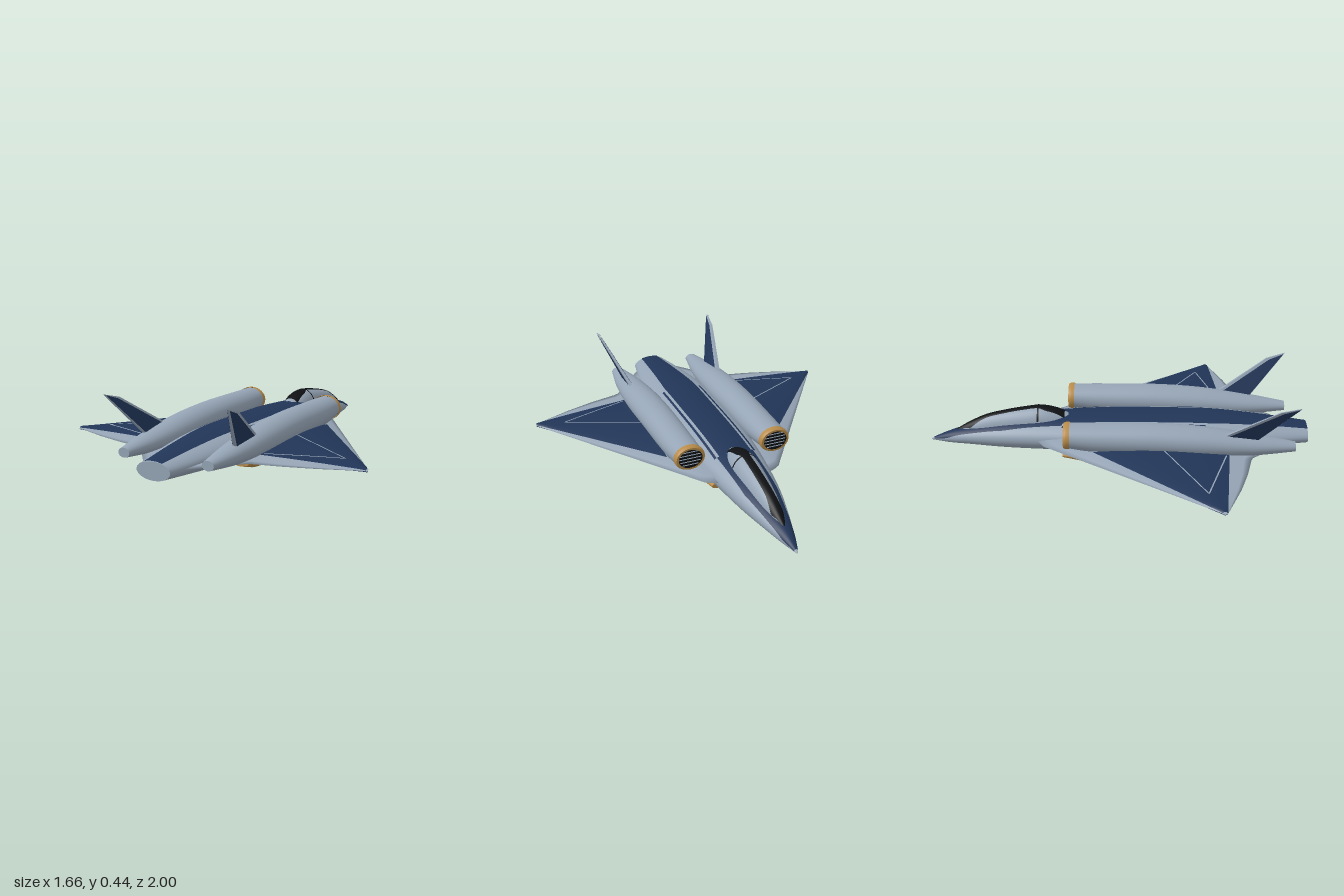
import * as THREE from 'three';
import { mergeVertices } from 'three/addons/utils/BufferGeometryUtils.js';
import { ConvexGeometry } from 'three/addons/geometries/ConvexGeometry.js';

const paint = (name, color) => new THREE.MeshStandardMaterial({ name, color, side: THREE.DoubleSide });
const grey = paint('hull grey', 0x95a4b5);
const navy = paint('navy', 0x213557);
const gold = paint('gold', 0xb98c4a);
const black = paint('black', 0x0e1013);

const part = (parent, name, geometry, material) => {
  const m = new THREE.Mesh(geometry, material);
  m.name = name;
  parent.add(m);
  return m;
};

// Grid surface from a rule f(u, v) -> [x, y, z]; outward is du x dv
function surface(f, nu, nv) {
  const pos = [], idx = [], w = nv + 1;
  for (let i = 0; i <= nu; i++) for (let j = 0; j <= nv; j++) pos.push(...f(i / nu, j / nv));
  for (let i = 0; i < nu; i++) for (let j = 0; j < nv; j++) {
    const a = i * w + j, b = a + w;
    idx.push(a, b, a + 1, b, b + 1, a + 1);
  }
  let g = new THREE.BufferGeometry();
  g.setAttribute('position', new THREE.Float32BufferAttribute(pos, 3));
  g.setIndex(idx);
  g = mergeVertices(g, 1e-5);
  g.computeVertexNormals();
  return g;
}

// Table lookup: rows [key, ...values], straight or smooth between rows
function lookup(rows, k, smooth = false) {
  let i = 0;
  while (i < rows.length - 2 && k > rows[i + 1][0]) i++;
  const p = rows[i], q = rows[i + 1], d = q[0] - p[0];
  const t = THREE.MathUtils.clamp((k - p[0]) / d, 0, 1);
  const o = rows[i - 1] || p, r = rows[i + 2] || q;
  return p.slice(1).map((a, n) => {
    const b = q[n + 1];
    if (!smooth) return a + (b - a) * t;
    const ma = (b - o[n + 1]) / (q[0] - o[0]) * d, mb = (r[n + 1] - a) / (r[0] - p[0]) * d;
    const t2 = t * t, t3 = t2 * t;
    return a * (2 * t3 - 3 * t2 + 1) + ma * (t3 - 2 * t2 + t) + b * (3 * t2 - 2 * t3) + mb * (t3 - t2);
  });
}

// Body of elliptical sections [z, centreY, halfWidth, halfHeight]
const first = rows => rows[0][0], last = rows => rows[rows.length - 1][0];
const body = (rows, n = 60, sides = 32, smooth = true) => surface((u, v) => {
  const z = first(rows) + u * (last(rows) - first(rows)), a = (v * 2 - 1) * Math.PI;
  const [cy, rx, ry] = lookup(rows, z, smooth);
  return [rx * Math.sin(a), cy + ry * Math.cos(a), z];
}, n, sides);

// Painted band on the top of a body; edges are rows [z, innerX, outerX]
const band = (rows, edges, off = 0.003) => surface((u, v) => {
  const z = first(edges) + u * (last(edges) - first(edges));
  const [cy, rx, ry] = lookup(rows, z, true), [x0, x1] = lookup(edges, z);
  const s = x => Math.asin(THREE.MathUtils.clamp(x / rx, -0.97, 0.97));
  const a = s(x0) + (s(x1) - s(x0)) * v;
  return [(rx + off) * Math.sin(a), cy + (ry + off) * Math.cos(a), z];
}, 60, 12);

function cap(parent, name, row, material) {
  const [z, cy, rx, ry] = row;
  const m = part(parent, name, new THREE.CircleGeometry(1, 32), material);
  m.scale.set(rx, ry, 1);
  m.position.set(0, cy, z);
  if (z < 0) m.rotation.y = Math.PI;
  return m;
}

const hull = [[-1, .08, .003, .003], [-.9, .095, .035, .03], [-.8, .109, .065, .046], [-.6, .128, .113, .072],
  [-.4, .14, .145, .085], [-.1, .15, .178, .092], [.2, .153, .185, .091], [.5, .155, .178, .085],
  [.75, .152, .145, .067], [1, .145, .093, .045]];
const canopy = [[-.87, .12, .006, .012], [-.8, .13, .03, .046], [-.7, .15, .05, .074], [-.6, .165, .062, .085],
  [-.5, .18, .07, .089], [-.41, .19, .073, .09], [-.33, .185, .068, .083], [-.26, .18, .05, .06]];
const nacelle = [[-.25, .232, .077, .062], [-.1, .222, .085, .074], [.2, .217, .09, .078], [.45, .205, .088, .073],
  [.7, .19, .07, .052], [.91, .18, .032, .024]];
const pod = [[-.29, .05, .035, .015], [-.17, .04, .05, .029], [-.12, .039, .052, .031], [.26, .039, .052, .031],
  [.31, .041, .051, .029], [.4, .055, .045, .018]];

// Wing outline, thickness and surface height
const leading = x => lookup([[.08, -.42], [.15, -.41], [.2, -.385], [.83, .5]], x)[0];
const trailing = x => lookup([[.08, .95], [.13, .9], [.31, .685], [.47, .65], [.62, .605], [.83, .525]], x)[0];
function wingY(x, z, side) {
  const a = leading(x), t = THREE.MathUtils.clamp((z - a) / (trailing(x) - a), 0, 1);
  const h = lookup(side > 0 ? [[.08, .048], [.3, .044], [.83, .007]] : [[.08, .014], [.83, .006]], x)[0];
  return .148 + side * h * Math.sin(Math.PI * Math.pow(t, .85));
}

function buildWing(side) {
  part(side, 'wing', surface((u, v) => {
    const x = .08 + .75 * v, top = u <= .5, t = top ? 2 * u : 2 - 2 * u;
    const z = leading(x) + t * (trailing(x) - leading(x));
    return [x, wingY(x, z, top ? 1 : -1), z];
  }, 48, 30), grey);
  for (const s of [1, -1]) part(side, s > 0 ? 'wingTopPanel' : 'wingUnderPanel', surface((u, v) => {
    const x = .305 + .525 * v;
    const z0 = -.12 + (x - .305) * 1.181, z1 = .572 - (x - .305) * .09;
    const z = z0 + u * (z1 - z0);
    return [x, wingY(x, z, s) + s * .003, z];
  }, 24, 21), navy);
  // Thin chevron line on the panel
  const line = [[0, .32, .24], [.5, .69, .445], [1, .32, .555]];
  part(side, 'wingPanelLine', surface((u, v) => {
    const [x, z0] = lookup(line, u), z = z0 + (v - .5) * .007;
    return [x, wingY(x, z, 1) + .005, z];
  }, 40, 1), grey);
}

function buildFin(side) {
  // Corners [y, z]: front base, front tip, rear tip, rear base
  const at = (y, z, d) => [.247 + (y - .21) * .412 + d, y, z];
  const half = y => .01 - (y - .2) * .026;
  const corners = [[.21, .48], [.42, .81], [.447, .91], [.21, .7]];
  const pts = corners.flatMap(([y, z]) => [1, -1].map(s => new THREE.Vector3(...at(y, z, s * half(y)))));
  part(side, 'tailFin', new ConvexGeometry(pts), grey);
  for (const s of [1, -1]) part(side, 'tailFinPanel', surface((u, v) => {
    const y0 = .225 + .19 * v, z0 = .525 + .3 * v, y1 = .225 + .218 * v, z1 = .71 + .194 * v;
    const y = y0 + (y1 - y0) * u;
    return at(y, z0 + (z1 - z0) * u, s * (half(y) + .003));
  }, 4, 8), navy);
}

function buildEngine(side) {
  const engine = new THREE.Group();
  engine.name = 'engine';
  engine.position.x = .235;
  side.add(engine);
  part(engine, 'nacelle', body(nacelle), grey);
  cap(engine, 'nozzle', nacelle[5], grey);
  // Gold intake lip around a dark barred opening
  part(engine, 'intakeRing', body([[-.272, .232, .076, .061], [-.262, .232, .081, .066], [-.24, .232, .081, .066]], 6), gold);
  const rim = part(engine, 'intakeRim', new THREE.RingGeometry(.84, 1, 32), gold);
  rim.scale.set(.076, .061, 1);
  rim.position.set(0, .232, -.272);
  rim.rotation.y = Math.PI;
  cap(engine, 'intakeOpening', [-.264, .232, .075, .06], black);
  for (let i = -2; i <= 2; i++) {
    const y = i * .018;
    const bar = part(engine, 'intakeBar', new THREE.BoxGeometry(.12 * Math.sqrt(1 - (y / .052) ** 2), .003, .004), grey);
    bar.position.set(0, .232 + y, -.267);
  }
}

function buildPod(side) {
  const group = new THREE.Group();
  group.name = 'bellyPod';
  group.position.x = .092;
  side.add(group);
  part(group, 'podShell', body(pod, 40, 20, false), gold);
  cap(group, 'podFrontEnd', pod[0], gold);
  cap(group, 'podRearEnd', pod[5], gold);
}

export function createModel() {
  const model = new THREE.Group();
  model.name = 'jet';

  part(model, 'fuselage', body(hull, 80, 48), grey);
  cap(model, 'tailEnd', hull[9], grey);
  part(model, 'noseStripe', band(hull, [[-.985, -.012, .012], [-.9, -.033, .033], [-.8, -.052, .052],
    [-.6, -.085, .085], [-.29, -.098, .098]]), navy);
  part(model, 'backStripe', band(hull, [[-.29, -.086, .086], [.5, -.088, .088], [1, -.048, .048]]), navy);

  part(model, 'canopy', body(canopy), grey);
  part(model, 'canopyStrip', band(canopy, [[-.865, -.003, .003], [-.78, -.03, .03], [-.7, -.022, .022],
    [-.42, -.02, .02], [-.38, -.034, .034], [-.28, -.04, .04]]), black);
  part(model, 'canopyFrame', band(canopy, [[-.424, -.068, .068], [-.415, -.068, .068]], .004), black);

  for (const s of [1, -1]) {
    const side = new THREE.Group();
    side.name = s > 0 ? 'leftSide' : 'rightSide';
    side.scale.x = s;
    model.add(side);
    part(side, 'sideStripe', band(hull, [[-.29, .1, .112], [.46, .102, .113]]), navy);
    buildWing(side);
    buildFin(side);
    buildEngine(side);
    buildPod(side);
  }
  return model;
}
